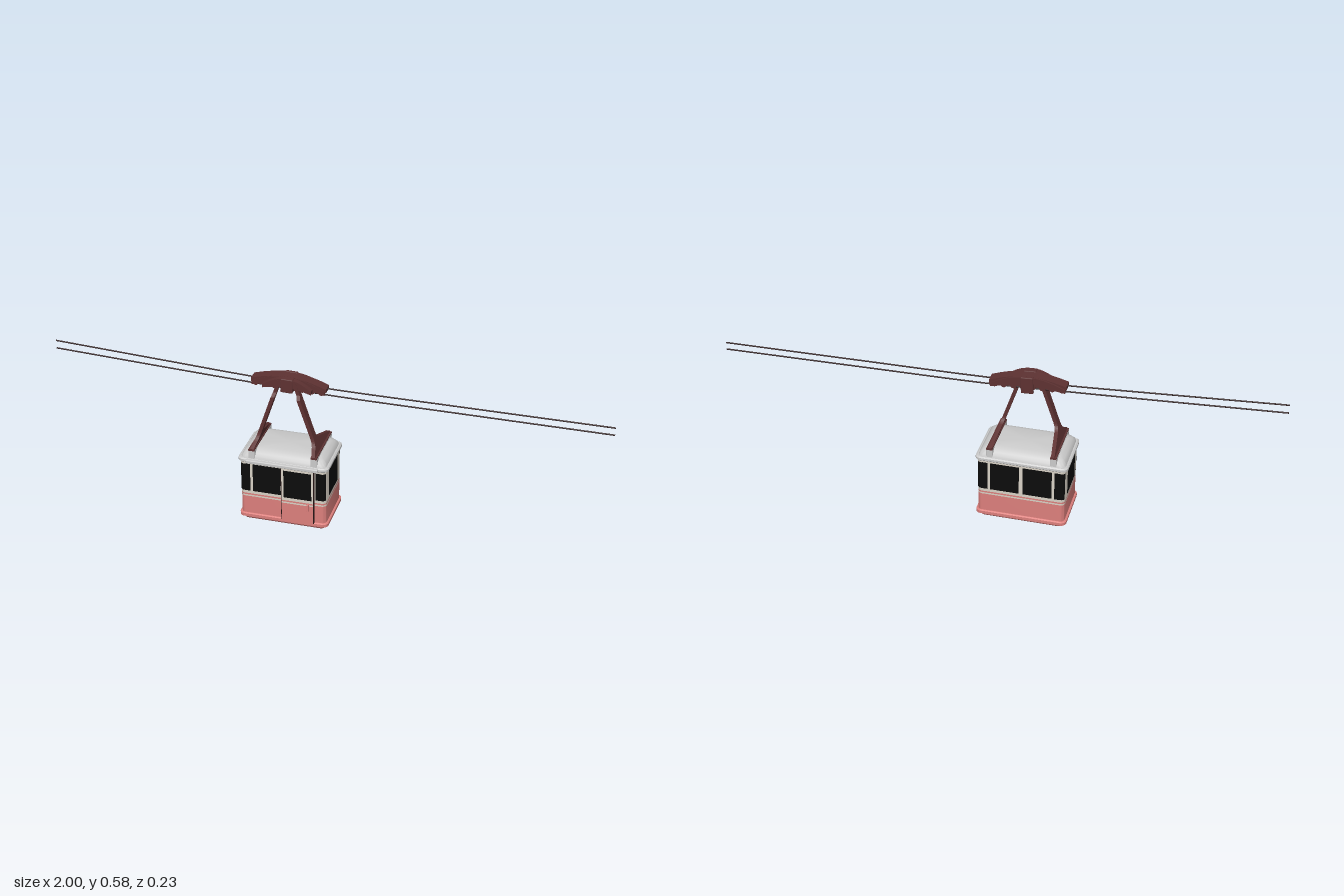
import * as THREE from 'three';
import { toCreasedNormals } from 'three/addons/utils/BufferGeometryUtils.js';
import { RoundedBoxGeometry } from 'three/addons/geometries/RoundedBoxGeometry.js';

const CX = -0.122, CZ = -0.006;   // cabin centre
const HX = 0.158, HZ = 0.1, R = 0.016; // cabin half sizes and corner radius

const mat = (color) => new THREE.MeshStandardMaterial({ color, side: THREE.DoubleSide });

// Stacks rounded rectangles [y, halfX, halfZ, radius] into a closed solid
function loft(sections) {
  const rings = sections.map(([y, hx, hz, r]) => {
    const pts = [];
    for (let c = 0; c < 4; c++) {
      const sx = c === 0 || c === 3 ? 1 : -1, sz = c < 2 ? 1 : -1;
      for (let k = 0; k <= 6; k++) {
        const a = (c + k / 6) * Math.PI / 2;
        pts.push([sx * (hx - r) + r * Math.cos(a), y, sz * (hz - r) + r * Math.sin(a)]);
      }
    }
    return pts;
  });
  const pos = [], n = rings[0].length, last = rings.length - 1;
  for (let i = 0; i < n; i++) {
    const j = (i + 1) % n;
    for (let s = 0; s < last; s++) {
      const a = rings[s][i], b = rings[s][j], c = rings[s + 1][j], d = rings[s + 1][i];
      pos.push(...a, ...d, ...c, ...a, ...c, ...b);
    }
    pos.push(0, sections[0][0], 0, ...rings[0][i], ...rings[0][j]);
    pos.push(0, sections[last][0], 0, ...rings[last][j], ...rings[last][i]);
  }
  const g = new THREE.BufferGeometry();
  g.setAttribute('position', new THREE.Float32BufferAttribute(pos, 3));
  return toCreasedNormals(g, 0.6);
}

export function createModel() {
  const model = new THREE.Group();
  const pink = mat(0xdc7f7c), cream = mat(0xd9d2c6), black = mat(0x0c0c0c);
  const grey = mat(0xcccccc), maroon = mat(0x5e3232), dark = mat(0x2a1818);

  const add = (parent, name, geo, material, x = 0, y = 0, z = 0) => {
    const m = new THREE.Mesh(geo, material);
    m.name = name;
    m.position.set(x, y, z);
    parent.add(m);
    return m;
  };
  // Box given by its two extreme corners
  const box = (parent, name, material, x0, x1, y0, y1, z0, z1, r = 0) => {
    const s = [x1 - x0, y1 - y0, z1 - z0];
    const g = r ? new RoundedBoxGeometry(...s, 2, r) : new THREE.BoxGeometry(...s);
    return add(parent, name, g, material, (x0 + x1) / 2, (y0 + y1) / 2, (z0 + z1) / 2);
  };

  // ---- Cabin shell, in its own centred frame ----
  const cabin = new THREE.Group();
  cabin.name = 'cabin';
  cabin.position.set(CX, 0, CZ);
  model.add(cabin);
  const band = (name, y0, y1, material, grow = 0) => add(cabin, name,
    loft([[y0, HX + grow, HZ + grow, R], [y1, HX + grow, HZ + grow, R]]), material);

  add(cabin, 'floorPan', loft([[0.005, 0.144, 0.086, 0.014], [0.008, 0.15, 0.092, 0.015],
    [0.014, 0.154, 0.096, 0.016], [0.021, HX, HZ, R]]), pink);
  add(cabin, 'bumper', loft([[0.019, 0.16, 0.102, 0.018], [0.022, 0.165, 0.106, 0.02],
    [0.033, 0.165, 0.106, 0.02], [0.036, 0.16, 0.102, 0.018]]), pink);
  band('lowerWall', 0.036, 0.106, pink);
  band('whiteStripe', 0.106, 0.112, cream);
  band('upperStripe', 0.112, 0.118, pink);
  band('upperWall', 0.118, 0.25, cream);
  add(cabin, 'roofRim', loft([[0.248, 0.161, 0.102, 0.018], [0.252, 0.166, 0.106, 0.02],
    [0.26, 0.166, 0.106, 0.02], [0.264, 0.161, 0.102, 0.018]]), grey);
  add(cabin, 'roof', loft([[0.262, 0.157, 0.1, 0.02], [0.272, 0.154, 0.097, 0.022],
    [0.283, 0.146, 0.089, 0.026], [0.291, 0.134, 0.078, 0.03], [0.296, 0.115, 0.062, 0.03]]), grey);
  add(cabin, 'floorDrain', new THREE.CylinderGeometry(0.01, 0.01, 0.006, 12), grey, 0, 0.003, 0);

  // ---- Windows ----
  const W0 = 0.13, W1 = 0.24, T = 0.0015;
  for (const s of [1, -1]) {
    box(cabin, 'endWindow', black, s * HX - T, s * HX + T, W0, W1, -0.056, 0.056, 0.0012);
    box(cabin, 'backWindow', black, s * 0.059 - 0.052, s * 0.059 + 0.052, W0, W1, -HZ - T, -HZ + T);
    for (const f of [1, -1]) {
      // Flat part, then the bend around the corner
      const x = s * (0.121 + HX - R) / 2;
      box(cabin, 'cornerWindow', black, x - 0.0105, x + 0.0105, W0, W1, f * HZ - T, f * HZ + T);
      const start = f > 0 ? (s > 0 ? 0 : -Math.PI / 3) : (s > 0 ? Math.PI * 2 / 3 : Math.PI);
      add(cabin, 'cornerWindowBend', new THREE.CylinderGeometry(R + T, R + T, W1 - W0, 8, 1, true,
        start, Math.PI / 3), black, s * (HX - R), (W0 + W1) / 2, f * (HZ - R));
    }
  }
  box(cabin, 'frontWindow', black, -0.111, -0.008, W0, W1, HZ - T, HZ + T);

  // ---- Sliding door on the front ----
  const door = new THREE.Group();
  door.name = 'slidingDoor';
  model.add(door);
  const panel = (name, m, y0, y1) => box(door, name, m, -0.125, -0.006, y0, y1, 0.09, 0.105);
  panel('doorLower', pink, 0.036, 0.106);
  panel('doorStripe', cream, 0.106, 0.112);
  panel('doorUpperStripe', pink, 0.112, 0.118);
  panel('doorUpper', cream, 0.118, 0.25);
  box(door, 'doorWindow', black, -0.116, -0.014, W0, W1, 0.1, 0.1058);
  for (const x of [-0.125, -0.006])
    box(door, 'doorSeam', dark, x - 0.001, x + 0.001, 0.036, 0.25, 0.094, 0.1055);
  box(door, 'doorHandle', pink, -0.03, -0.022, 0.087, 0.117, 0.104, 0.114, 0.002);
  box(door, 'doorRail', grey, -0.255, 0.01, 0.25, 0.263, 0.09, 0.11, 0.003);

  // ---- Hanger: two leaning arms on roof saddles ----
  const profile = new THREE.Shape();
  profile.moveTo(-0.106, 0.296);
  profile.lineTo(0.095, 0.296);
  profile.lineTo(0.095, 0.303);
  profile.lineTo(0.066, 0.321);
  profile.quadraticCurveTo(0.049, 0.332, 0.049, 0.355);
  profile.lineTo(0.049, 0.495);
  profile.lineTo(0.035, 0.508);
  profile.lineTo(0.035, 0.555);
  profile.lineTo(0.015, 0.555);
  profile.lineTo(0.018, 0.365);
  profile.quadraticCurveTo(0.018, 0.348, 0.0, 0.34);
  profile.lineTo(-0.106, 0.303);
  for (const s of [1, -1]) {
    const g = new THREE.ExtrudeGeometry(profile, { depth: 0.013, bevelEnabled: false, curveSegments: 6 });
    g.rotateY(-Math.PI / 2).translate(0.0065, 0, 0);
    const p = g.attributes.position;
    for (let i = 0; i < p.count; i++)
      p.setX(i, p.getX(i) + s * (0.114 - 0.34 * (p.getY(i) - 0.297)));
    g.computeVertexNormals();
    add(model, 'hangerArm', g, maroon, CX, 0, 0);
    box(model, 'hangerFoot', maroon, CX + s * 0.114 - 0.011, CX + s * 0.114 + 0.011, 0.295, 0.301, -0.106, 0.095);
    box(model, 'roofSaddle', grey, CX + s * 0.114 - 0.012, CX + s * 0.114 + 0.012, 0.26, 0.297, -0.105, 0.094, 0.003);
  }

  // ---- Cable carriage: arched cover, side plates and rollers ----
  const carriage = new THREE.Group();
  carriage.name = 'carriage';
  carriage.position.set(CX, 0.53, 0);
  carriage.rotation.z = -0.04;
  model.add(carriage);
  const arch = (name, half, low, mid, z0, z1) => {
    const s = new THREE.Shape();
    s.moveTo(-half, low);
    s.lineTo(-half, low + 0.013);
    s.quadraticCurveTo(-half * 0.5, 0.031, -0.02, 0.032);
    s.lineTo(0.02, 0.032);
    s.quadraticCurveTo(half * 0.5, 0.031, half, low + 0.013);
    s.lineTo(half, low);
    s.quadraticCurveTo(0, mid, -half, low);
    const g = new THREE.ExtrudeGeometry(s, { depth: z1 - z0, bevelEnabled: false, curveSegments: 10 });
    add(carriage, name, g, maroon, 0, 0, z0);
  };
  arch('archedCover', 0.136, -0.006, 0.03, -0.027, 0.013);
  arch('frontPlate', 0.132, -0.016, 0.012, 0.008, 0.015);
  arch('backPlate', 0.132, -0.016, 0.012, -0.032, -0.025);
  arch('hangerBracket', 0.088, -0.012, 0.014, 0.015, 0.034);
  box(carriage, 'backHub', maroon, -0.022, 0.022, -0.028, 0.034, -0.037, -0.025, 0.003);
  box(carriage, 'frontHub', maroon, -0.022, 0.022, -0.018, 0.034, 0.01, 0.036, 0.003);
  for (let i = 0; i < 8; i++) {
    const x = -0.119 + i * 0.034;
    const wheel = add(carriage, 'roller', new THREE.CylinderGeometry(0.011, 0.011, 0.038, 14), maroon, x, -0.008, CZ);
    wheel.rotation.x = Math.PI / 2;
  }

  // ---- Two parallel cables, sagging at the carriage ----
  const cable = (name, pts) => {
    const curve = new THREE.CatmullRomCurve3(pts.map(([x, y]) => new THREE.Vector3(x, y, CZ)));
    add(model, name, new THREE.TubeGeometry(curve, 40, 0.0027, 8), dark);
  };
  cable('upperCable', [[-1, 0.58], [-0.6, 0.557], [-0.26, 0.538], [0.015, 0.528], [0.5, 0.524], [1, 0.521]]);
  cable('lowerCable', [[-1, 0.55], [-0.6, 0.53], [-0.26, 0.514], [0.015, 0.503], [0.5, 0.498], [1, 0.494]]);
  return model;
}
